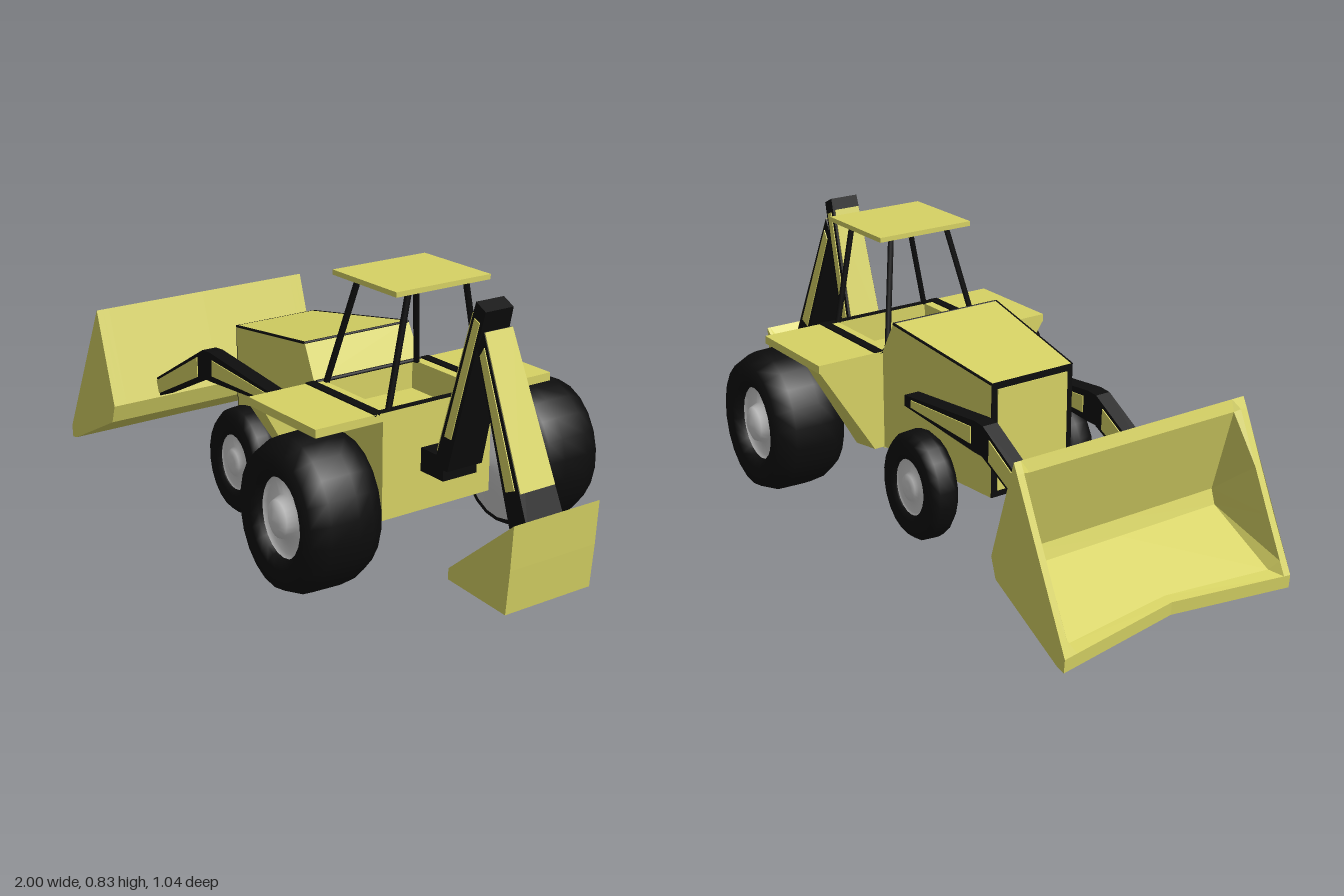
import * as THREE from 'three';
import { ConvexGeometry } from 'three/addons/geometries/ConvexGeometry.js';

const V = (x, y, z) => new THREE.Vector3(x, y, z);
const paint = (color) => new THREE.MeshStandardMaterial({ color, side: THREE.DoubleSide });
const yellow = paint(0xd6d264);
const black = paint(0x0d0d0d);
const grey = paint(0xcccccc);
yellow.flatShading = true;

function add(parent, name, geometry, material) {
  const mesh = new THREE.Mesh(geometry, material);
  mesh.name = name;
  parent.add(mesh);
  return mesh;
}

// Box given by its limits
function block(parent, name, material, [x0, x1], [y0, y1], [z0, z1]) {
  const g = new THREE.BoxGeometry(x1 - x0, y1 - y0, z1 - z0);
  g.translate((x0 + x1) / 2, (y0 + y1) / 2, (z0 + z1) / 2);
  return add(parent, name, g, material);
}

// Convex solid from [x, y, z] corners
const hull = (parent, name, material, pts) =>
  add(parent, name, new ConvexGeometry(pts.map((p) => V(...p))), material);

// Solid from an xy outline, with a half width for each corner
const slab = (parent, name, material, outline, z, half) =>
  hull(parent, name, material, outline.flatMap(([x, y], i) => {
    const h = Array.isArray(half) ? half[i] : half;
    return [[x, y, z - h], [x, y, z + h]];
  }));

// Black arm with a yellow panel let into each side; quad runs around the arm,
// u runs from corner 0 to 1 and v from corner 0 to 3
function framedArm(parent, name, quad, z, half, [u0, u1] = [0.06, 0.94], [v0, v1] = [0.2, 0.8]) {
  slab(parent, name, black, quad, z, half);
  const at = (u, v) => [0, 1].map((k) =>
    (1 - v) * ((1 - u) * quad[0][k] + u * quad[1][k]) + v * ((1 - u) * quad[3][k] + u * quad[2][k]));
  const h = (u) => (Array.isArray(half) ? half[0] + (half[1] - half[0]) * u : half) + 0.003;
  slab(parent, name + 'Panel', yellow, [at(u0, v0), at(u1, v0), at(u1, v1), at(u0, v1)], z,
    [h(u0), h(u1), h(u1), h(u0)]);
}

function rod(parent, name, a, b, r, material = black) {
  const d = b.clone().sub(a);
  const m = add(parent, name, new THREE.CylinderGeometry(r, r, d.length(), 6), material);
  m.position.copy(a).addScaledVector(d, 0.5);
  m.quaternion.setFromUnitVectors(V(0, 1, 0), d.normalize());
}

// Scoop lofted across z: solid cheeks at both ends, a cavity between them
function scoop(parent, name, outer, rim, cavity, half, cheek, pinch) {
  const sections = [[-half, rim], [-half + cheek, rim], [-half + 2 * cheek, cavity], [0, cavity],
    [half - 2 * cheek, cavity], [half - cheek, rim], [half, rim]];
  const pos = [], idx = [], n = outer.length + rim.length;
  for (const [z, inner] of sections) {
    const k = 1 - Math.abs(z) / half;
    for (const [x, y, lip = 0] of [...outer, ...inner]) pos.push(x + lip * pinch * k, y + lip * 0.02 * k, z);
  }
  for (let s = 0; s < sections.length - 1; s++)
    for (let i = 0; i < n; i++) {
      const a = s * n + i, b = s * n + (i + 1) % n;
      idx.push(a, b, a + n, b, b + n, a + n);
    }
  const faces = THREE.ShapeUtils.triangulateShape(outer.map(([x, y]) => new THREE.Vector2(x, y)), []);
  for (const [a, b, c] of faces) {
    const e = (sections.length - 1) * n;
    idx.push(a, c, b, a + e, b + e, c + e);
  }
  const g = new THREE.BufferGeometry();
  g.setAttribute('position', new THREE.Float32BufferAttribute(pos, 3));
  g.setIndex(idx);
  g.computeVertexNormals();
  add(parent, name, g, yellow);
}

// Tyre, domed outer hub and conical inner hub; profiles are [radius, z]
function wheel(parent, name, x, y, size, mapZ) {
  const g = new THREE.Group();
  g.name = name;
  const turn = (part, profile, material) => {
    const geo = new THREE.LatheGeometry(profile.map(([r, z]) => new THREE.Vector2(r * size, mapZ(z))), 22);
    add(g, part, geo.rotateX(Math.PI / 2), material);
  };
  turn('tyre', [[0.17, 0.3], [0.2, 0.28], [0.222, 0.32], [0.228, 0.37], [0.225, 0.46], [0.2, 0.515],
    [0.145, 0.515], [0.12, 0.5], [0.117, 0.47]], black);
  turn('outerHub', [[0.125, 0.495], [0.11, 0.475], [0.065, 0.48], [0.055, 0.505], [0.03, 0.518], [0, 0.522]], grey);
  turn('innerHub', [[0.2, 0.288], [0.1, 0.25], [0.04, 0.225], [0, 0.222]], grey);
  g.position.set(x, y, 0);
  g.scale.x = 0.855;
  parent.add(g);
}

export function createModel() {
  const root = new THREE.Group();
  root.name = 'backhoeLoader';

  // Engine hood with sloping top, widening toward the cab
  const F = -0.325, both = (x, y, z) => [[x, y, z], [x, y, -z]];
  hull(root, 'hood', yellow, [...both(F, 0.185, 0.145), ...both(F, 0.54, 0.145), ...both(0.115, 0.605, 0.19),
    ...both(0.17, 0.5, 0.195), ...both(0.17, 0.185, 0.195)]);
  block(root, 'grilleFrame', black, [F - 0.003, F], [0.185, 0.54], [-0.145, 0.145]);
  block(root, 'grille', yellow, [F - 0.006, F], [0.205, 0.52], [-0.125, 0.125]);
  rod(root, 'hoodRearTrim', V(0.115, 0.603, -0.19), V(0.115, 0.603, 0.19), 0.004);
  rod(root, 'dashTrim', V(0.175, 0.5, -0.19), V(0.175, 0.5, 0.19), 0.006);

  // Open cab tub
  block(root, 'cabFloor', yellow, [0.17, 0.5], [0.18, 0.41], [-0.195, 0.195]);
  block(root, 'cabRearWall', yellow, [0.48, 0.5], [0.41, 0.5], [-0.195, 0.195]);
  block(root, 'cabRearTrim', black, [0.48, 0.5], [0.5, 0.503], [-0.195, 0.195]);
  block(root, 'roof', yellow, [0.22, 0.515], [0.826, 0.841], [-0.165, 0.165]);

  // Everything paired left and right
  for (const side of [1, -1]) {
    const half = new THREE.Group();
    half.name = side > 0 ? 'leftSide' : 'rightSide';
    half.scale.z = side;
    root.add(half);

    rod(half, 'hoodTrim', V(F, 0.538, 0.145), V(0.115, 0.603, 0.19), 0.004);
    block(half, 'cabSideWall', yellow, [0.17, 0.5], [0.41, 0.5], [0.165, 0.195]);
    block(half, 'cabRail', black, [0.17, 0.5], [0.495, 0.504], [0.195, 0.225]);
    rod(half, 'frontPost', V(0.19, 0.5, 0.165), V(0.262, 0.83, 0.1), 0.01);
    rod(half, 'rearPost', V(0.485, 0.5, 0.165), V(0.485, 0.83, 0.1), 0.01);

    // Fender top and its tapering front panel
    block(half, 'fenderTop', yellow, [0.17, 0.5], [0.475, 0.5], [0.19, 0.42]);
    hull(half, 'fenderFront', yellow, [[0.17, 0.48, 0.19], [0.17, 0.48, 0.42], [0.25, 0.48, 0.19],
      [0.25, 0.48, 0.42], [0.17, 0.185, 0.19], [0.245, 0.185, 0.19], [0.245, 0.185, 0.25], [0.17, 0.185, 0.23]]);

    wheel(half, 'rearWheel', 0.44, 0.243, 1, (z) => z);
    wheel(half, 'frontWheel', -0.12, 0.18, 0.746, (z) => 0.3 - (0.515 - z) * 0.4);

    // Loader arm: rear link, elbow and front link
    framedArm(half, 'loaderRearLink', [[0, 0.42], [-0.36, 0.458], [-0.36, 0.362], [0, 0.385]], 0.203, 0.025,
      [0.1, 0.95], [0.22, 0.78]);
    slab(half, 'loaderElbow', black, [[-0.36, 0.458], [-0.4, 0.455], [-0.44, 0.43], [-0.42, 0.362], [-0.36, 0.362]],
      0.203, 0.025);
    framedArm(half, 'loaderFrontLink', [[-0.4, 0.455], [-0.72, 0.27], [-0.7, 0.215], [-0.4, 0.36]], 0.203, 0.025,
      [0.1, 0.98], [0.14, 0.86]);
  }

  // Front loader bucket; a third number marks the pinched lip
  scoop(root, 'loaderBucket',
    [[-0.775, 0.525], [-0.68, 0.22], [-0.7, 0.16], [-0.97, 0.025, 1], [-0.997, 0.02, 1], [-1, 0.06, 1]],
    [[-0.98, 0.1, 0.8], [-0.92, 0.22], [-0.86, 0.345], [-0.79, 0.495]],
    [[-0.96, 0.07, 0.8], [-0.73, 0.185], [-0.715, 0.23], [-0.785, 0.49]], 0.4, 0.022, 0.045);

  // Backhoe boom, stick and mount
  block(root, 'boomMount', black, [0.48, 0.6], [0.3, 0.37], [-0.06, 0.06]);
  framedArm(root, 'boom', [[0.56, 0.335], [0.705, 0.84], [0.745, 0.82], [0.62, 0.335]], 0,
    [0.062, 0.048, 0.048, 0.062], [0.2, 0.92], [0.25, 0.75]);
  slab(root, 'boomFrontPlate', yellow, [[0.568, 0.38], [0.69, 0.805], [0.687, 0.806], [0.565, 0.381]], 0,
    [0.056, 0.044, 0.044, 0.056]);
  framedArm(root, 'stick', [[0.742, 0.765], [0.96, 0.27], [0.89, 0.25], [0.715, 0.715]], 0,
    [0.05, 0.066, 0.066, 0.05], [0.06, 0.78], [0.22, 0.78]);
  slab(root, 'stickBackPlate', yellow, [[0.745, 0.765], [0.919, 0.37], [0.915, 0.369], [0.741, 0.764]], 0,
    [0.048, 0.061, 0.061, 0.048]);

  // Digging bucket
  scoop(root, 'diggingBucket',
    [[0.997, 0.33], [0.988, 0.2], [0.975, 0.07], [0.74, 0.082, 1], [0.74, 0.115, 1]],
    [[0.78, 0.118], [0.83, 0.125], [0.9, 0.225], [0.975, 0.31]],
    [[0.78, 0.105], [0.95, 0.095], [0.965, 0.2], [0.978, 0.31]], 0.15, 0.01, 0.02);

  return root;
}
